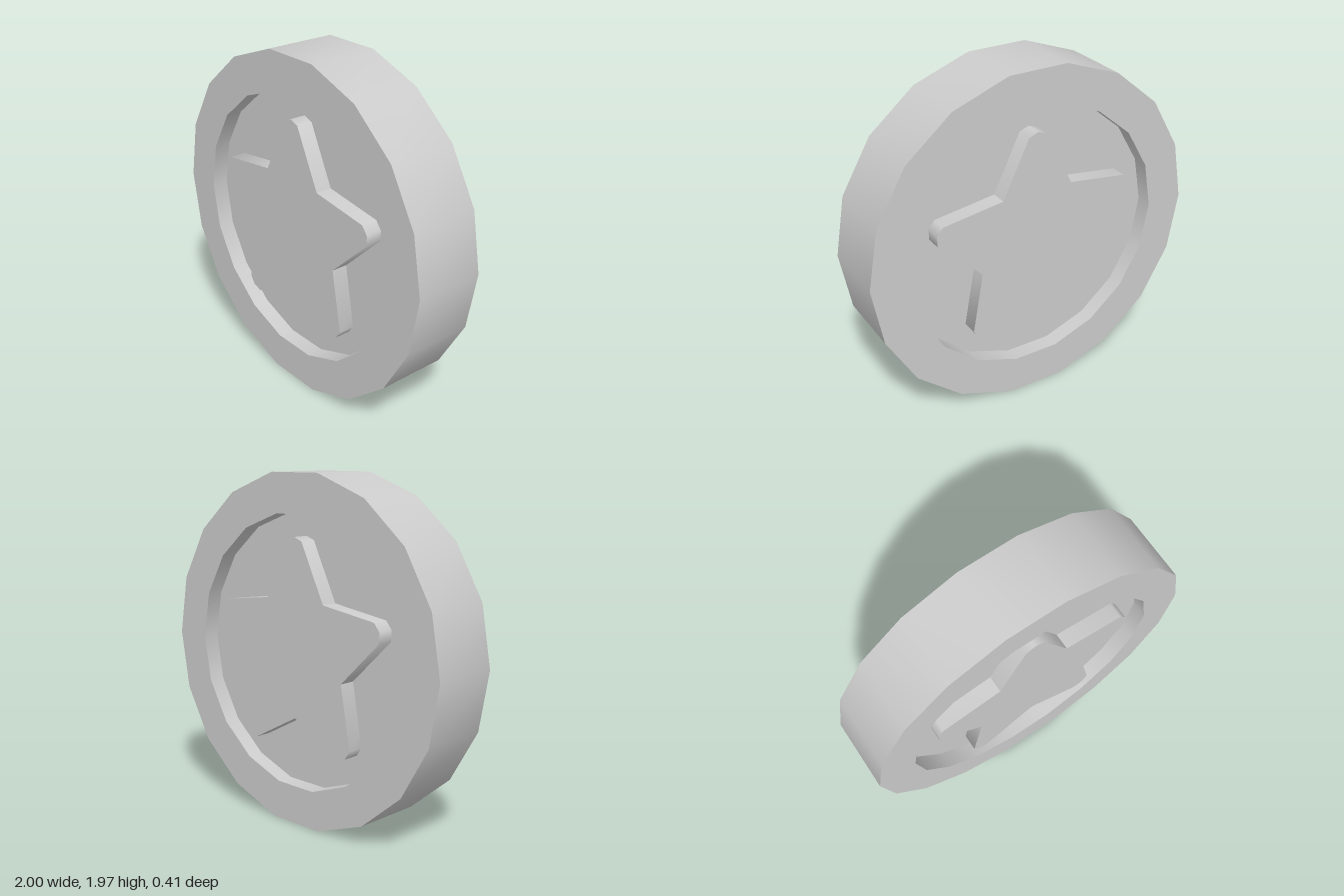
import * as THREE from 'three';
import { toCreasedNormals } from 'three/addons/utils/BufferGeometryUtils.js';

const SIDES = 18, OUTER = 1, INNER = 0.775;
const HALF = 0.2075;   // half thickness of rim and star
const FLOOR = 0.112;   // recessed face, distance from the middle plane

// Regular polygon with a corner at +x
function ngon(radius) {
  return Array.from({ length: SIDES }, (_, i) => {
    const a = (i / SIDES) * Math.PI * 2;
    return new THREE.Vector2(radius * Math.cos(a), radius * Math.sin(a));
  });
}

// Five-armed star: three points round each blunt tip, one in each notch
function starPoints() {
  const arm = [[0.056, 0.622], [0, 0.643], [-0.056, 0.622], [-0.2145, 0.295]];
  const points = [];
  for (let i = 0; i < 5; i++) {
    for (const [x, y] of arm) {
      points.push(new THREE.Vector2(x, y).rotateAround(new THREE.Vector2(), (i * Math.PI * 2) / 5));
    }
  }
  return points;
}

// Extrude centred on z = 0, smooth round gentle corners only
function prism(shape) {
  const geometry = new THREE.ExtrudeGeometry(shape, { depth: HALF * 2, bevelEnabled: false });
  geometry.translate(0, 0, -HALF);
  return toCreasedNormals(geometry, THREE.MathUtils.degToRad(50));
}

export function createModel() {
  const model = new THREE.Group();
  model.name = 'starCoin';
  const material = new THREE.MeshStandardMaterial({ color: 0xcccccc });

  const add = (name, geometry) => {
    const mesh = new THREE.Mesh(geometry, material);
    mesh.name = name;
    mesh.position.y = OUTER * Math.cos(Math.PI / SIDES);
    model.add(mesh);
    return mesh;
  };

  // Rim
  const ring = new THREE.Shape(ngon(OUTER));
  ring.holes.push(new THREE.Path(ngon(INNER)));
  add('rim', prism(ring));

  // Recessed faces, front and back
  for (const side of [1, -1]) {
    const face = add(side > 0 ? 'frontFace' : 'backFace', new THREE.CircleGeometry(INNER, SIDES));
    face.position.z = side * FLOOR;
    if (side < 0) face.rotation.y = Math.PI;
  }

  // Star standing proud of both faces, flush with the rim
  add('star', prism(new THREE.Shape(starPoints())));

  return model;
}
